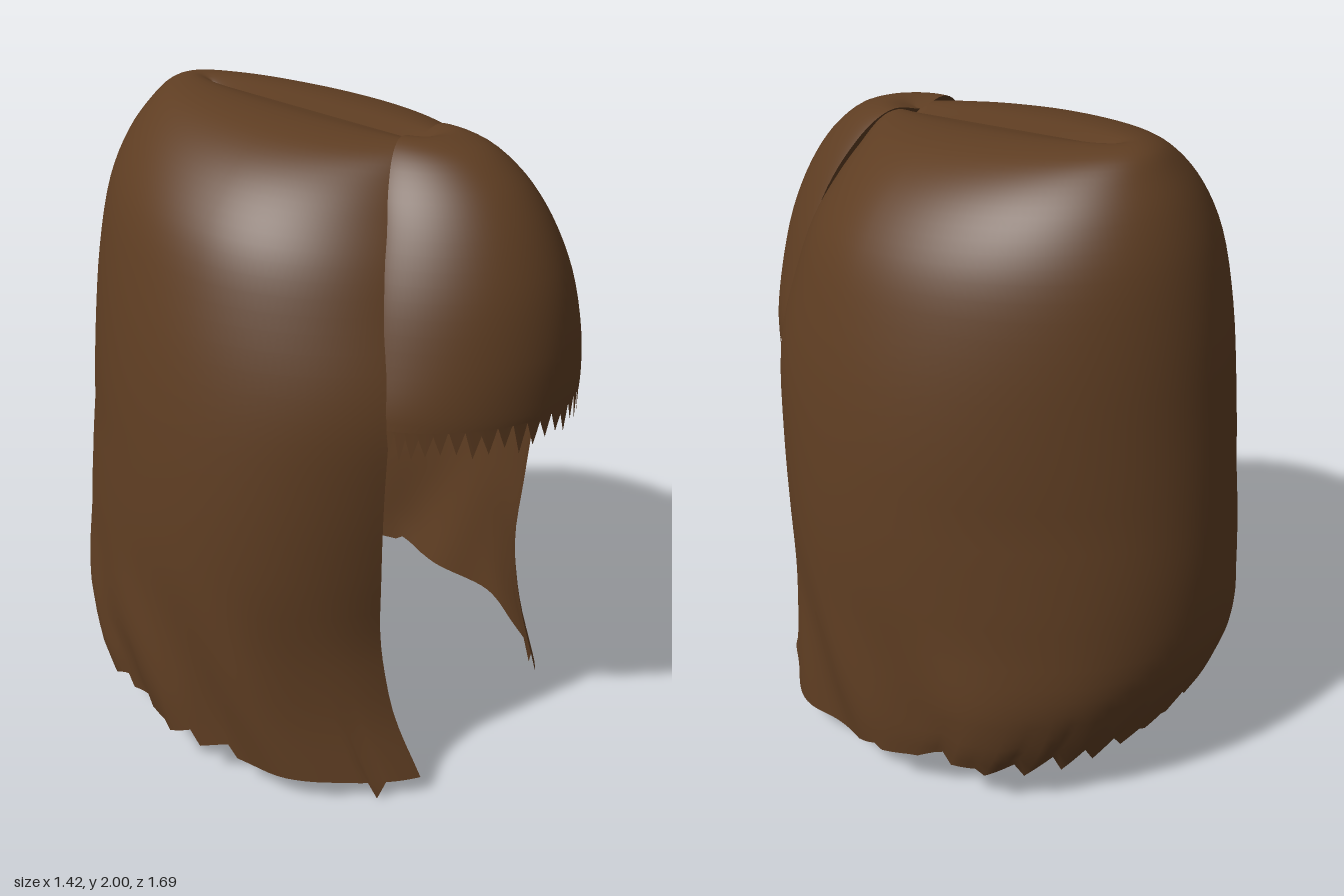
import * as THREE from 'three';

// Smooth sheet from a rule f(t, s) -> [x, y, z]; t runs down, s runs round to the right
function sheet(rows, cols, f) {
  const pos = [], idx = [];
  for (let i = 0; i <= rows; i++)
    for (let j = 0; j <= cols; j++) pos.push(...f(i / rows, j / cols, j));
  for (let i = 0; i < rows; i++)
    for (let j = 0; j < cols; j++) {
      const a = i * (cols + 1) + j, b = a + cols + 1;
      idx.push(a, b, b + 1, a, b + 1, a + 1);
    }
  const g = new THREE.BufferGeometry();
  g.setAttribute('position', new THREE.Float32BufferAttribute(pos, 3));
  g.setIndex(idx);
  g.computeVertexNormals();
  return g;
}

// Smooth curve through table columns
const track = (table, a, b, c) =>
  new THREE.CatmullRomCurve3(table.map(r => new THREE.Vector3(r[a], r[b], r[c])));

// Linear lookup in an evenly spaced list
function lookup(list, s) {
  const k = Math.min(s * (list.length - 1), list.length - 1.0001), i = Math.floor(k);
  return THREE.MathUtils.lerp(list[i], list[i + 1], k - i);
}

// Repeatable pseudo-random value for a strand number
const noise = n => { const v = Math.sin(n * 127.1 + 3.7) * 43758.5453; return v - Math.floor(v); };

export function createModel() {
  const group = new THREE.Group();
  const brown = new THREE.MeshStandardMaterial({ color: 0x5e3d22, side: THREE.DoubleSide });
  brown.name = 'brown hair';

  // Long hair: height, half width, back z, front edge x, front edge z
  const hair = [
    [1.975, 0, -0.42, 0, 0.36],
    [1.995, 0.12, -0.49, 0.06, 0.375],
    [1.975, 0.26, -0.56, 0.11, 0.4],
    [1.92, 0.37, -0.61, 0.155, 0.42],
    [1.83, 0.465, -0.67, 0.21, 0.455],
    [1.7, 0.545, -0.725, 0.28, 0.49],
    [1.5, 0.605, -0.77, 0.355, 0.515],
    [1.25, 0.655, -0.8, 0.415, 0.545],
    [1.0, 0.685, -0.825, 0.42, 0.535],
    [0.75, 0.7, -0.84, 0.405, 0.52],
    [0.5, 0.7, -0.825, 0.385, 0.51],
    [0.3, 0.695, -0.755, 0.37, 0.55],
    [0.12, 0.685, -0.66, 0.345, 0.64],
  ];
  const sides = track(hair, 0, 1, 2), edges = track(hair, 0, 3, 4);
  const hemLine = [0.06, 0.06, 0.08, 0.09, 0.11, 0.14, 0.16, 0.13, 0.11, 0.11, 0.11];
  // Swelling of the back corners, from the hem up to the crown
  const corner = [0.05, 0.06, 0.03, -0.02, -0.04, -0.05, -0.04, -0.03, -0.02, -0.01, 0];
  const cols = 128;
  const hem = j => {
    const k = Math.min(j, cols - j);           // strands counted from the front edge
    if (k === 5) return 0.0;                   // pointed lock tip
    const saw = (j % 4) / 3 * 0.06 * noise(Math.floor(j / 4));
    return lookup(hemLine, k / (cols / 2)) + (k > 20 ? saw : 0);
  };
  const longHair = sheet(48, cols, (t, s, j) => {
    const p = sides.getPoint(t), e = edges.getPoint(t);
    const w = Math.max(p.y, 0), r = w > 1e-3 ? Math.min(e.y / w, 0.75) : 0.5;
    const a0 = Math.asin(r), a = THREE.MathUtils.lerp(a0, 2 * Math.PI - a0, s);
    const c = Math.cos(a), depth = c > 0 ? e.z / Math.sqrt(1 - r * r) : -p.z;
    let y = p.x;
    const swell = c < 0 ? 1 + lookup(corner, THREE.MathUtils.clamp(y / 2, 0, 1)) * Math.sin(2 * a) ** 2 : 1;
    let x = w * Math.sin(a) * swell;
    const z = depth * c * swell;
    // crown slopes down to the front
    y -= 0.07 * (z + 0.45) / 0.81 * THREE.MathUtils.smoothstep(y, 1.3, 1.95);
    // gentle waves near the ends, on the sides only
    const wave = 0.018 * (1 - THREE.MathUtils.smoothstep(y, 0.2, 0.75)) * Math.sin(a) ** 2;
    x += wave * Math.sin(11 * a + 6 * y) * Math.sign(x);
    // ragged hem
    const h = hem(j);
    if (y < 0.4) y = h + (y - 0.12) * (0.4 - h) / 0.28;
    return [x, y, z];
  });
  const longMesh = new THREE.Mesh(longHair, brown);
  longMesh.name = 'longHair';
  group.add(longMesh);

  // Fringe, its side edges tucked under the long hair: height, half width, side z, front z
  const bangs = [
    [1.92, 0, 0.34, 0.36],
    [1.94, 0.1, 0.345, 0.45],
    [1.91, 0.165, 0.365, 0.56],
    [1.83, 0.235, 0.4, 0.665],
    [1.72, 0.295, 0.44, 0.745],
    [1.57, 0.355, 0.47, 0.81],
    [1.4, 0.4, 0.495, 0.842],
    [1.27, 0.425, 0.515, 0.845],
    [1.18, 0.427, 0.525, 0.84],
  ];
  const shape = track(bangs, 0, 1, 2), fronts = track(bangs, 0, 1, 3);
  const fringe = sheet(32, 56, (t, s, j) => {
    const p = shape.getPoint(t), zf = fronts.getPoint(t).z;
    const a = Math.PI * (1 - s);
    // strand tips at the hem
    const tip = j % 2 ? 1.135 + 0.03 * noise(j) : 1.205 + 0.03 * noise(j);
    const y = t === 1 ? tip : Math.max(p.x, 1.225);
    // narrows towards the middle of the forehead lower down
    const point = THREE.MathUtils.lerp(1.1, 1.45, t);
    return [p.y * Math.cos(a), y, p.z + (zf - p.z) * Math.max(Math.sin(a), 0) ** point];
  });
  const fringeMesh = new THREE.Mesh(fringe, brown);
  fringeMesh.name = 'fringe';
  group.add(fringeMesh);

  return group;
}
